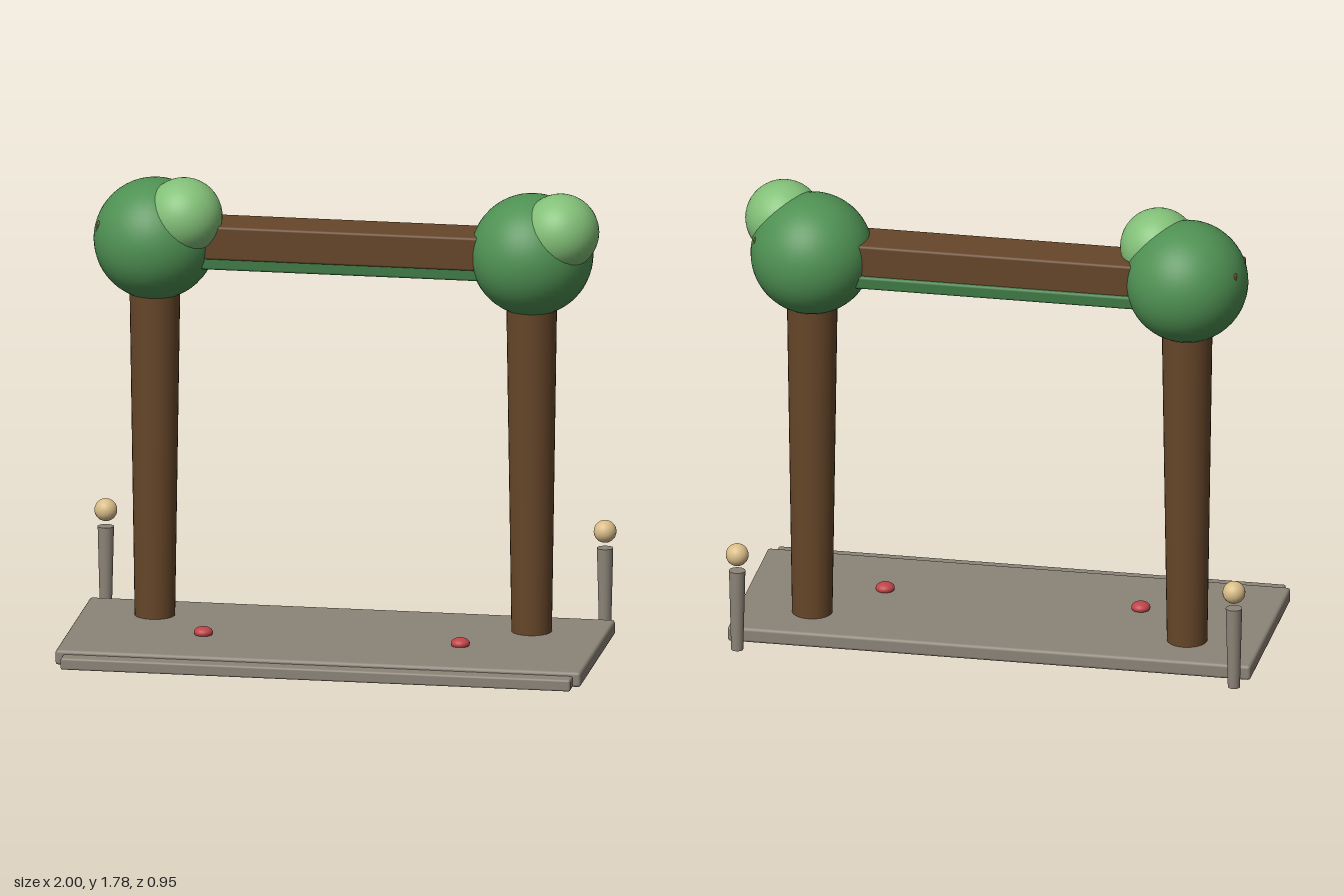
import * as THREE from 'three';
import { RoundedBoxGeometry } from 'three/addons/geometries/RoundedBoxGeometry.js';

const mat = (color) => new THREE.MeshStandardMaterial({ color });

export function createModel() {
  const group = new THREE.Group();
  const stone = mat(0x8c8478), bark = mat(0x664629), leaf = mat(0x4f9153), lightLeaf = mat(0x83c078);
  const red = mat(0xbf4448), cream = mat(0xd9bd88), olive = mat(0x6b6038), moss = mat(0x3f7a45);

  const add = (name, geometry, material, x, y, z) => {
    const mesh = new THREE.Mesh(geometry, material);
    mesh.name = name;
    mesh.position.set(x, y, z);
    group.add(mesh);
    return mesh;
  };
  // Box given by its min and max corners, with softly rounded edges
  const slab = (name, material, [x0, y0, z0], [x1, y1, z1], radius) =>
    add(name, new RoundedBoxGeometry(x1 - x0, y1 - y0, z1 - z0, 2, radius), material,
      (x0 + x1) / 2, (y0 + y1) / 2, (z0 + z1) / 2);

  // Stone platform, front step and the panel set into the underside
  slab('platform', stone, [-1, 0.012, -0.375], [1, 0.07, 0.415], 0.012);
  slab('frontStep', stone, [-0.97, 0.01, 0.33], [0.97, 0.055, 0.475], 0.008);
  slab('undersidePanel', olive, [-0.46, 0.008, 0], [0.42, 0.03, 0.21], 0.002);

  // Crossbeam with a mossy strip beneath
  slab('crossbeam', bark, [-0.925, 1.48, -0.26], [0.925, 1.61, -0.068], 0.01);
  slab('mossStrip', moss, [-0.8, 1.44, -0.272], [0.8, 1.49, -0.072], 0.01);

  for (const side of [-1, 1]) {
    // Tree: trunk widening upward, main crown and a lighter tuft
    const trunkX = side * 0.717;
    add('trunk', new THREE.CylinderGeometry(0.097, 0.075, 1.46, 32), bark, trunkX, 0.73, -0.162);
    add('crown', new THREE.SphereGeometry(0.231, 40, 28), leaf, trunkX, 1.53, -0.167);
    add('crownTuft', new THREE.SphereGeometry(0.145, 36, 24), lightLeaf, trunkX + 0.12, 1.638, -0.105);

    // Flattened red button on the platform
    add('redButton', new THREE.SphereGeometry(0.036, 24, 16), red, side * 0.489, 0.079, 0.096)
      .scale.y = 0.6;

    // Rear post with a ball finial
    add('post', new THREE.CylinderGeometry(0.031, 0.023, 0.32, 20), stone, side * 0.95, 0.17, -0.437);
    add('postBall', new THREE.SphereGeometry(0.043, 24, 16), cream, side * 0.95, 0.394, -0.437);
  }
  return group;
}
